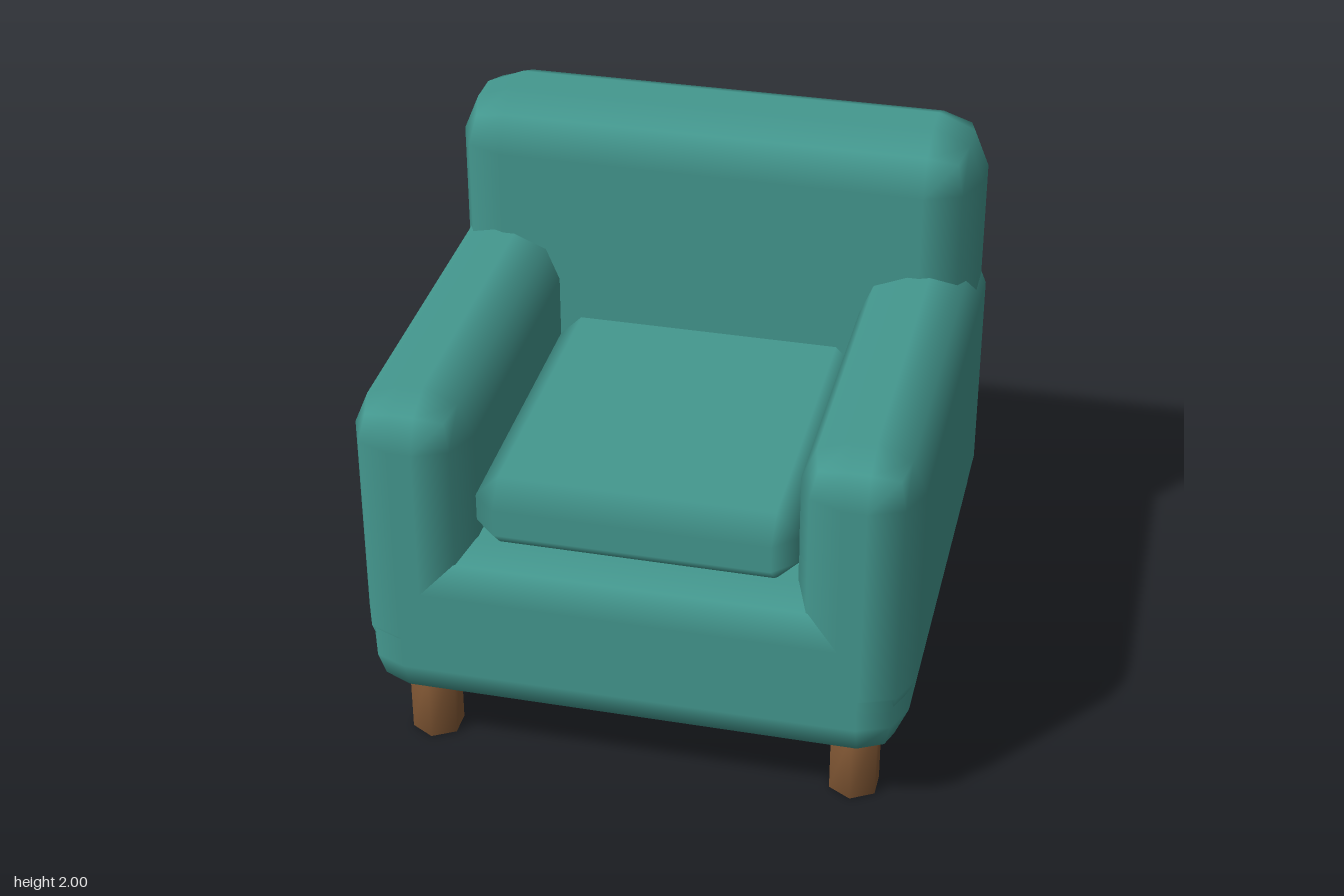
import * as THREE from 'three';
import { RoundedBoxGeometry } from 'three/addons/geometries/RoundedBoxGeometry.js';
import { ConvexGeometry } from 'three/addons/geometries/ConvexGeometry.js';
import { mergeVertices } from 'three/addons/utils/BufferGeometryUtils.js';

const fabric = new THREE.MeshStandardMaterial({ color: 0x44988f });
const wood = new THREE.MeshStandardMaterial({ color: 0x855a36 });

// Box with one soft-shaded 45 degree bevel: each corner belongs to one face and takes its normal.
function bevelBox(w, h, d, r) {
  const half = [w / 2, h / 2, d / 2];
  const points = [];
  for (const sx of [-1, 1]) for (const sy of [-1, 1]) for (const sz of [-1, 1]) {
    for (let axis = 0; axis < 3; axis++) {
      const c = [sx, sy, sz].map((s, i) => s * (half[i] - (i === axis ? 0 : r)));
      points.push(new THREE.Vector3(...c));
    }
  }
  const geo = new ConvexGeometry(points);
  const { position, normal } = geo.attributes;
  for (let i = 0; i < position.count; i++) {
    const c = [position.getX(i), position.getY(i), position.getZ(i)];
    const n = c.map((v, k) => (Math.abs(Math.abs(v) - half[k]) < 1e-4 ? Math.sign(v) : 0));
    normal.setXYZ(i, ...n);
  }
  return geo;
}

// Six-sided peg whose shading flows over its end caps.
function legGeometry(radius, height) {
  const geo = new THREE.CylinderGeometry(radius, radius, height, 6);
  geo.deleteAttribute('normal');
  geo.deleteAttribute('uv');
  const welded = mergeVertices(geo);
  welded.computeVertexNormals();
  return welded;
}

export function createModel() {
  const group = new THREE.Group();

  function add(name, geometry, material, x, y, z) {
    const mesh = new THREE.Mesh(geometry, material);
    mesh.name = name;
    mesh.position.set(x, y, z);
    group.add(mesh);
  }

  // Padded block given by its extents
  function pad(name, [x0, x1], [y0, y1], [z0, z1], r) {
    add(name, new RoundedBoxGeometry(x1 - x0, y1 - y0, z1 - z0, 1, r), fabric,
      (x0 + x1) / 2, (y0 + y1) / 2, (z0 + z1) / 2);
  }

  pad('base', [-0.967, 0.967], [0.265, 0.905], [-0.875, 0.895], 0.16);
  pad('backrest', [-0.967, 0.967], [0.39, 2], [-0.895, -0.385], 0.19);
  pad('leftArm', [0.565, 0.985], [0.38, 1.49], [-0.887, 0.895], 0.17);
  pad('rightArm', [-0.985, -0.565], [0.38, 1.49], [-0.887, 0.895], 0.17);

  // Seat cushion, tucked under the backrest
  add('seatCushion', bevelBox(1.14, 0.27, 1.36, 0.085), fabric, 0, 1.03, 0.13);

  // Legs
  const leg = legGeometry(0.095, 0.3);
  for (const [side, x] of [['Left', 0.775], ['Right', -0.775]]) {
    add('front' + side + 'Leg', leg, wood, x, 0.15, 0.655);
    add('back' + side + 'Leg', leg, wood, x, 0.15, -0.635);
  }
  return group;
}
